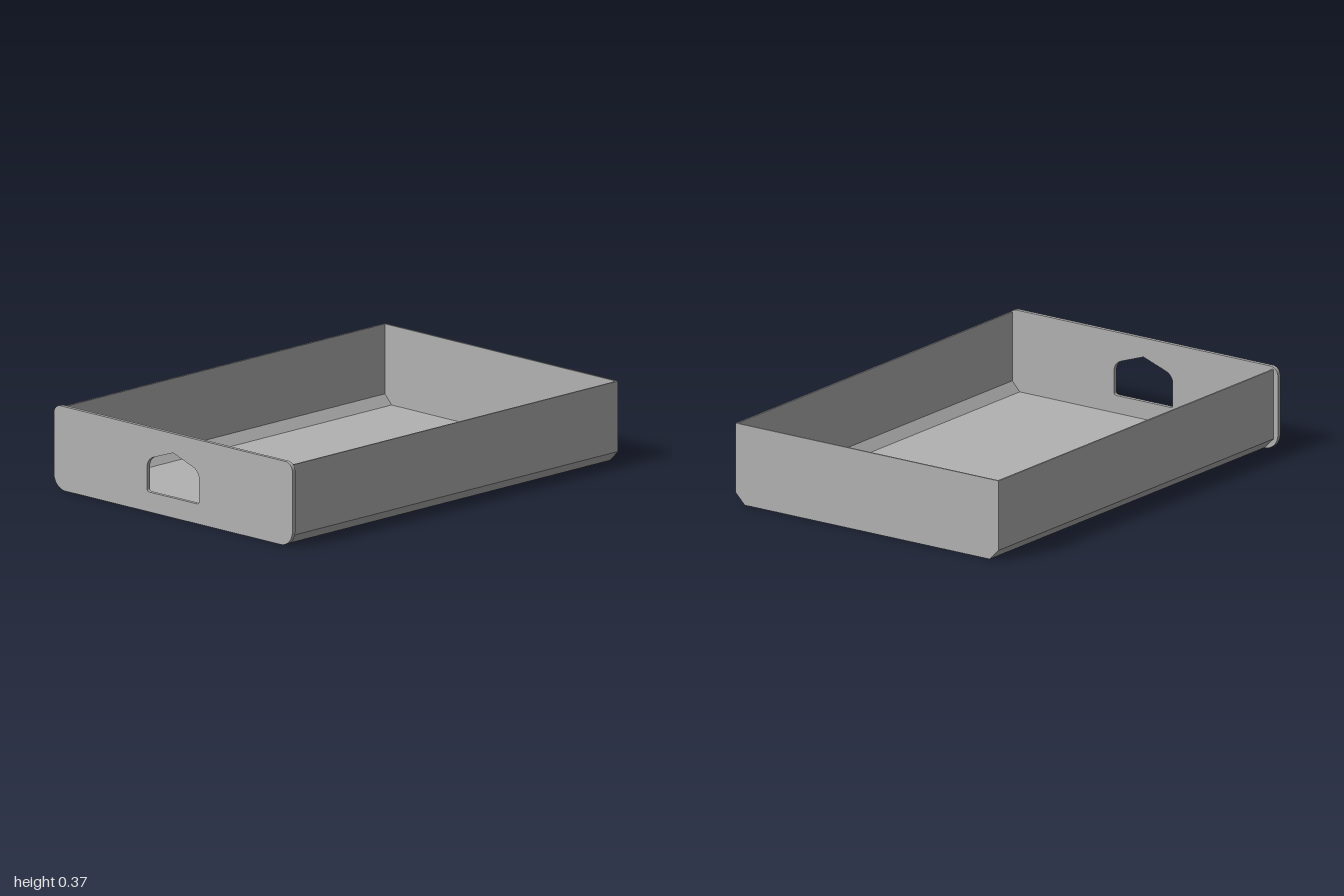
import * as THREE from 'three';

const grey = new THREE.MeshStandardMaterial({ color: 0xb2b2b2 });
grey.name = 'plain grey';

const WALL = 0.008, TOP = 0.36, BACK = -1, FRONT = 1, PANEL = 0.018;

// Half profile of the tray from the rim down to the floor edge
const outer = [[0.698, TOP], [0.698, 0.049], [0.65, 0.001]];
const inner = [[0.69, TOP], [0.69, 0.051], [0.65, 0.009]];
const mirror = (pts) => pts.map(([x, y]) => [-x, y]).reverse();
const toShape = (pts) => new THREE.Shape(pts.map(([x, y]) => new THREE.Vector2(x, y)));

function extrude(name, shape, z, depth) {
  const geometry = new THREE.ExtrudeGeometry(shape, { depth, bevelEnabled: false, curveSegments: 10 });
  geometry.translate(0, 0, z);
  const mesh = new THREE.Mesh(geometry, grey);
  mesh.name = name;
  return mesh;
}

// Panel outline with small upper and larger lower corner radii
function panelShape() {
  const w = 0.714, h = 0.372, r = 0.04, R = 0.07;
  const s = new THREE.Shape();
  s.moveTo(-w + R, 0);
  s.lineTo(w - R, 0);
  s.absarc(w - R, R, R, -Math.PI / 2, 0);
  s.lineTo(w, h - r);
  s.absarc(w - r, h - r, r, 0, Math.PI / 2);
  s.lineTo(-w + r, h);
  s.absarc(-w + r, h - r, r, Math.PI / 2, Math.PI);
  s.lineTo(-w, R);
  s.absarc(-w + R, R, R, Math.PI, Math.PI * 1.5);
  return s;
}

// Gabled grip opening with rounded shoulders
function gripHole() {
  const w = 0.156, b = 0.088, r = 0.014;
  const p = new THREE.Path();
  p.moveTo(-w + r, b);
  p.lineTo(w - r, b);
  p.quadraticCurveTo(w, b, w, b + r);
  p.lineTo(w, 0.195);
  p.bezierCurveTo(w, 0.222, 0.138, 0.24, 0.116, 0.247);
  p.lineTo(0, 0.287);
  p.lineTo(-0.116, 0.247);
  p.bezierCurveTo(-0.138, 0.24, -w, 0.222, -w, 0.195);
  p.lineTo(-w, b + r);
  p.quadraticCurveTo(-w, b, -w + r, b);
  return p;
}

export function createModel() {
  const drawer = new THREE.Group();
  drawer.name = 'drawer';

  // Floor, chamfers and side walls as one folded sheet
  const tray = new THREE.Group();
  tray.name = 'tray';
  tray.position.x = 0.006;
  const sheet = toShape([...outer, ...mirror(outer), ...mirror(inner).reverse(), ...inner.slice().reverse()]);
  tray.add(extrude('floorAndSides', sheet, BACK + WALL, FRONT - PANEL - BACK - WALL));

  // Back wall follows the outer profile
  tray.add(extrude('backWall', toShape([...outer, ...mirror(outer)]), BACK, WALL));

  // Front panel with the grip opening
  const shape = panelShape();
  shape.holes.push(gripHole());
  drawer.add(tray, extrude('frontPanel', shape, FRONT - PANEL, PANEL));
  return drawer;
}
